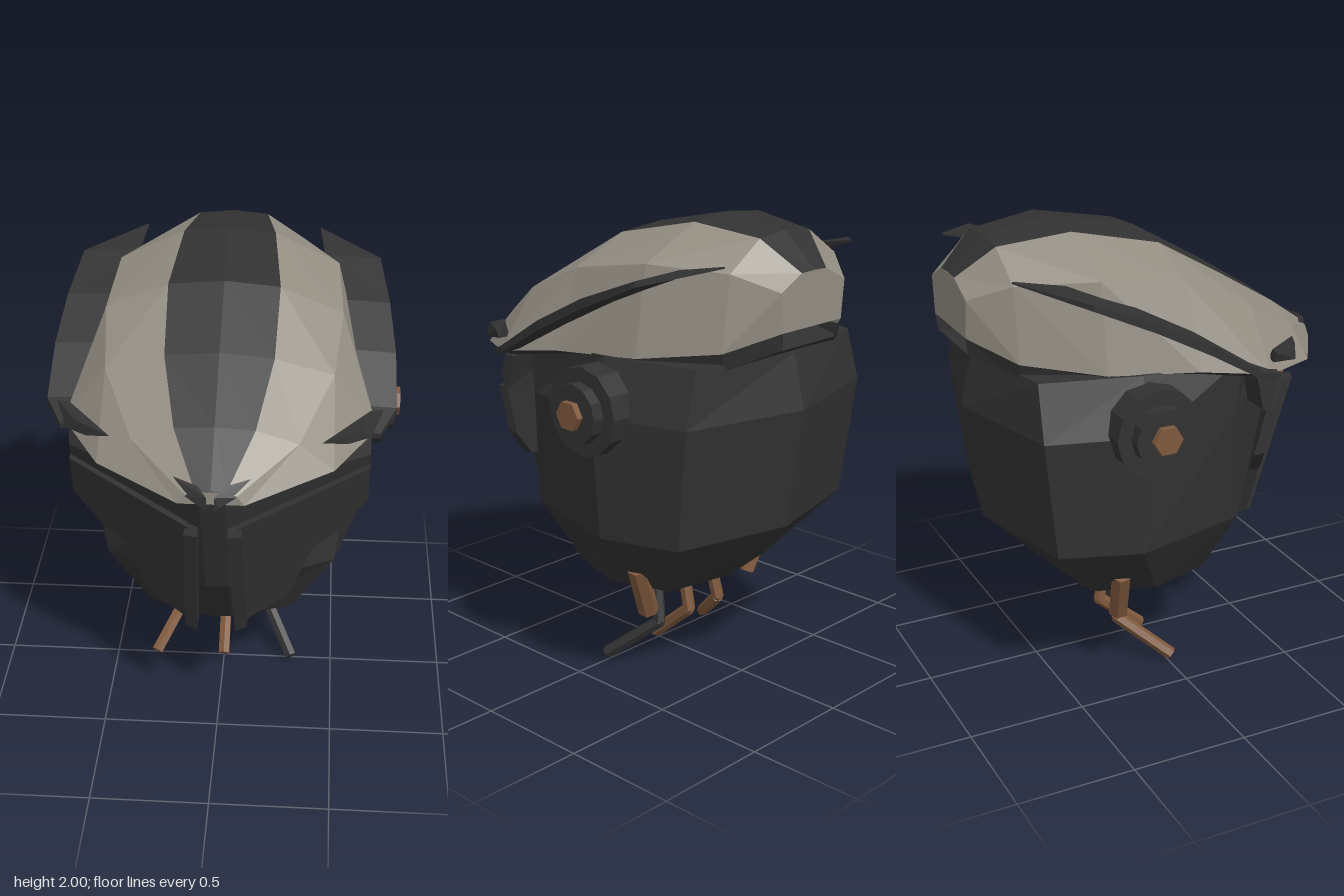
import * as THREE from 'three';
import { ConvexGeometry } from 'three/addons/geometries/ConvexGeometry.js';

const mat = (name, color) => {
  const m = new THREE.MeshStandardMaterial({ color, flatShading: true, side: THREE.DoubleSide });
  m.name = name;
  return m;
};

// Reverse every triangle
function flip(g) {
  const n = g.index ? g.index.count : g.attributes.position.count;
  const idx = Array.from({ length: n }, (_, i) => (g.index ? g.index.getX(i) : i));
  for (let i = 0; i < n; i += 3) [idx[i], idx[i + 1]] = [idx[i + 1], idx[i]];
  g.setIndex(idx);
  g.computeVertexNormals();
  return g;
}

const mirrored = (g) => flip(g.clone().scale(-1, 1, 1));

// Skin over rows of [x, y, z] points; closed rows get end caps. Turned outward.
function skin(rows, closed = false) {
  const n = rows[0].length, pos = rows.flat(2), idx = [];
  for (let r = 0; r < rows.length - 1; r++) {
    for (let c = 0; c < (closed ? n : n - 1); c++) {
      const a = r * n + c, b = r * n + (c + 1) % n;
      idx.push(a, b, b + n, a, b + n, a + n);
    }
  }
  if (closed) {
    const e = (rows.length - 1) * n;
    for (let c = 1; c < n - 1; c++) idx.push(0, c + 1, c, e, e + c, e + c + 1);
  }
  const g = new THREE.BufferGeometry();
  g.setAttribute('position', new THREE.Float32BufferAttribute(pos, 3));
  g.setIndex(idx);
  const p = (i) => new THREE.Vector3(pos[i * 3], pos[i * 3 + 1] - 1.6, pos[i * 3 + 2]);
  let vol = 0;
  for (let i = 0; i < idx.length; i += 3) vol += p(idx[i]).dot(p(idx[i + 1]).cross(p(idx[i + 2])));
  if (vol < 0) flip(g);
  g.computeVertexNormals();
  return g;
}

// Flat outline given thickness, then laid onto a sloped surface z = f(x, y)
function plate(points, depth, f) {
  const s = new THREE.Shape(points.map(([x, y]) => new THREE.Vector2(x, y)));
  const g = new THREE.ExtrudeGeometry(s, { depth, bevelEnabled: false });
  const p = g.attributes.position;
  for (let i = 0; i < p.count; i++) p.setZ(i, p.getZ(i) - depth + f(p.getX(i), p.getY(i)));
  g.computeVertexNormals();
  return g;
}

const hull = (pts) => new ConvexGeometry(pts.map((p) => new THREE.Vector3(...p)));

function rod(a, b, r, sides = 6) {
  const A = new THREE.Vector3(...a), B = new THREE.Vector3(...b), d = B.clone().sub(A);
  const g = new THREE.CylinderGeometry(r, r, d.length(), sides);
  g.applyQuaternion(new THREE.Quaternion().setFromUnitVectors(new THREE.Vector3(0, 1, 0), d.normalize()));
  return g.translate(...A.add(B).multiplyScalar(0.5).toArray());
}

export function createModel() {
  const root = new THREE.Group();
  root.name = 'armouredHead';
  const dark = mat('charcoal', 0x323232);
  const stone = mat('stoneGrey', 0x938d82);
  const copper = mat('copper', 0x7f593d);

  const add = (name, g, m) => {
    const mesh = new THREE.Mesh(g, m);
    mesh.name = name;
    root.add(mesh);
  };
  const pair = (name, g, m) => {
    add(name + 'Left', g, m);
    add(name + 'Right', mirrored(g), m);
  };

  // Head: half rings [x, z] from front to back at each height
  const rings = [
    [0.43, [[0.05, 0.27], [0.31, 0.17], [0.4, -0.1], [0.31, -0.36], [0, -0.42]]],
    [0.735, [[0.05, 0.47], [0.49, 0.24], [0.625, -0.27], [0.515, -0.6], [0, -0.725]]],
    [1.25, [[0.05, 0.66], [0.56, 0.18], [0.65, -0.25], [0.54, -0.66], [0, -0.8]]],
    [1.48, [[0.05, 0.6], [0.56, 0.2], [0.57, -0.25], [0.47, -0.65], [0, -0.745]]],
  ];
  add('head', skin(rings.map(([y, h]) => [
    ...h.map(([x, z]) => [x, y, z]),
    ...h.slice(0, -1).reverse().map(([x, z]) => [-x, y, z]),
  ]), true), dark);

  // Helmet: stations [z, crownY, stripe x/y, shoulder x/y, rim x/y]
  const helmet = [
    [-0.83, 1.825, 0.075, 1.82, 0.195, 1.76, 0.18, 1.6],
    [-0.68, 1.96, 0.15, 1.945, 0.32, 1.83, 0.36, 1.525],
    [-0.38, 2.0, 0.195, 1.98, 0.47, 1.85, 0.53, 1.485],
    [-0.01, 1.92, 0.23, 1.9, 0.49, 1.79, 0.6, 1.465],
    [0.29, 1.745, 0.22, 1.725, 0.46, 1.66, 0.64, 1.42],
    [0.57, 1.565, 0.16, 1.555, 0.33, 1.5, 0.47, 1.385],
    [0.79, 1.41, 0.06, 1.405, 0.1, 1.39, 0.13, 1.35],
  ];
  add('crownStripe', skin(helmet.map(([z, y, sx, sy]) => [[-sx, sy, z], [0, y, z], [sx, sy, z]])), dark);
  pair('helmetShell', skin(helmet.map(([z, , sx, sy, mx, my, rx, ry]) =>
    [[sx, sy, z], [mx, my, z], [rx, ry, z]])), stone);
  const endCap = ([z, , sx, sy, mx, my, rx, ry]) => skin([
    [[-sx, sy, z], [sx, sy, z]], [[-mx, my, z], [mx, my, z]], [[-rx, ry, z], [rx, ry, z]]]);
  add('helmetBack', endCap(helmet[0]), stone);
  add('helmetTip', endCap(helmet[6]), stone);
  add('helmetUnderside', skin(helmet.map(([z, , , , , , rx, ry]) => {
    const back = z < -0.5, low = ry - (back ? 0.07 : 0.02), x = rx * 0.94, lz = z * (back ? 0.99 : 0.95);
    return [[-rx, ry, z], [-x, low, lz], [x, low, lz], [rx, ry, z]];
  })), dark);

  // Swept side blades: stations [z, inner x, outer x, y, half thickness]
  const blade = [
    [-0.71, 0.385, 0.395, 1.868, 0.003], [-0.5, 0.41, 0.65, 1.815, 0.012], [-0.25, 0.46, 0.69, 1.71, 0.02],
    [-0.02, 0.5, 0.715, 1.59, 0.02], [0.2, 0.57, 0.72, 1.455, 0.015], [0.33, 0.61, 0.65, 1.41, 0.01],
  ];
  pair('sideBlade', skin(blade.map(([z, a, b, y, t]) =>
    [[a, y + t * 1.6, z], [b, y + t, z], [b, y - t, z], [a, y - t, z]]), true), dark);

  // Visor band, wedge shaped around the face
  const visorSide = (x) => [[x, 1.26, 0.3], [x, 1.32, 0.32], [x, 1.4, 0.29], [x, 1.4, 0.24], [x, 1.26, 0.27]];
  const visorMid = (x) => [[x, 1.17, 0.69], [x, 1.32, 0.735], [x, 1.4, 0.7], [x, 1.4, 0.4], [x, 1.17, 0.4]];
  add('visorBand', skin([visorSide(-0.62), visorMid(-0.05), visorMid(0.05), visorSide(0.62)], true), dark);
  pair('eye', plate([[0.2, 1.295], [0.43, 1.328], [0.48, 1.358], [0.24, 1.328]], 0.03,
    (x, y) => 0.756 - 0.728 * (x - 0.05) - 0.4 * Math.max(0, y - 1.32) - 0.3 * Math.max(0, 1.32 - y)), copper);

  // Cheek plates and the raised bars beside the centre line
  pair('cheekPlate', plate([[0.1, 1.17], [0.1, 0.6], [0.14, 0.6], [0.3, 0.65], [0.4, 0.91], [0.49, 0.94],
    [0.62, 1.07], [0.62, 1.26]], 0.05, (x, y) => 0.67 - 0.72 * (x - 0.12) - 0.28 * (1.17 - y)), dark);
  pair('cheekBar', plate([[0.08, 0.545], [0.13, 0.56], [0.115, 1.16], [0.06, 1.165]], 0.085,
    (x, y) => 0.74 - 0.34 * (1.16 - y) - 0.3 * (x - 0.06)), dark);

  // Brow fins and the small prongs at the helmet tip
  pair('browFin', hull([[0.66, 1.515, 0.3], [0.61, 1.515, 0.31], [0.65, 1.475, 0.29], [0.61, 1.455, 0.42],
    [0.52, 1.45, 0.47], [0.42, 1.48, 0.52], [0.57, 1.505, 0.44], [0.55, 1.46, 0.33]]), dark);
  pair('tipProng', hull([[0.155, 1.43, 0.72], [0.015, 1.405, 0.83], [0.015, 1.345, 0.83], [0.035, 1.36, 0.83],
    [0.1, 1.385, 0.79], [0.05, 1.425, 0.78]]), dark);

  // Ear discs with copper hubs
  for (const [name, r, x, sides, m] of [['earDisc', 0.185, 0.68, 12, dark], ['earCap', 0.125, 0.73, 12, dark],
    ['earHub', 0.062, 0.757, 6, copper]]) {
    pair(name, rod([0.5, 1.27, -0.23], [x, 1.27, -0.23], r, sides), m);
  }

  // Neck struts
  pair('neckStrut', rod([0.315, 0.31, -0.24], [0.41, 0.54, -0.27], 0.045), copper);

  // Bent neck cables
  for (const [name, s, m] of [['cableLeft', 1, dark], ['cableMiddle', 0, copper], ['cableRight', -1, copper]]) {
    const bend = [0.19 * s, 0.2, -0.185];
    add(name + 'Upper', rod([0.16 * s, 0.48, -0.13], bend, 0.028), m);
    add(name + 'Joint', new THREE.IcosahedronGeometry(0.028, 0).translate(...bend), m);
    add(name + 'Lower', rod(bend, [0.315 * s, 0.025, 0.02], 0.028), m);
  }
  return root;
}
